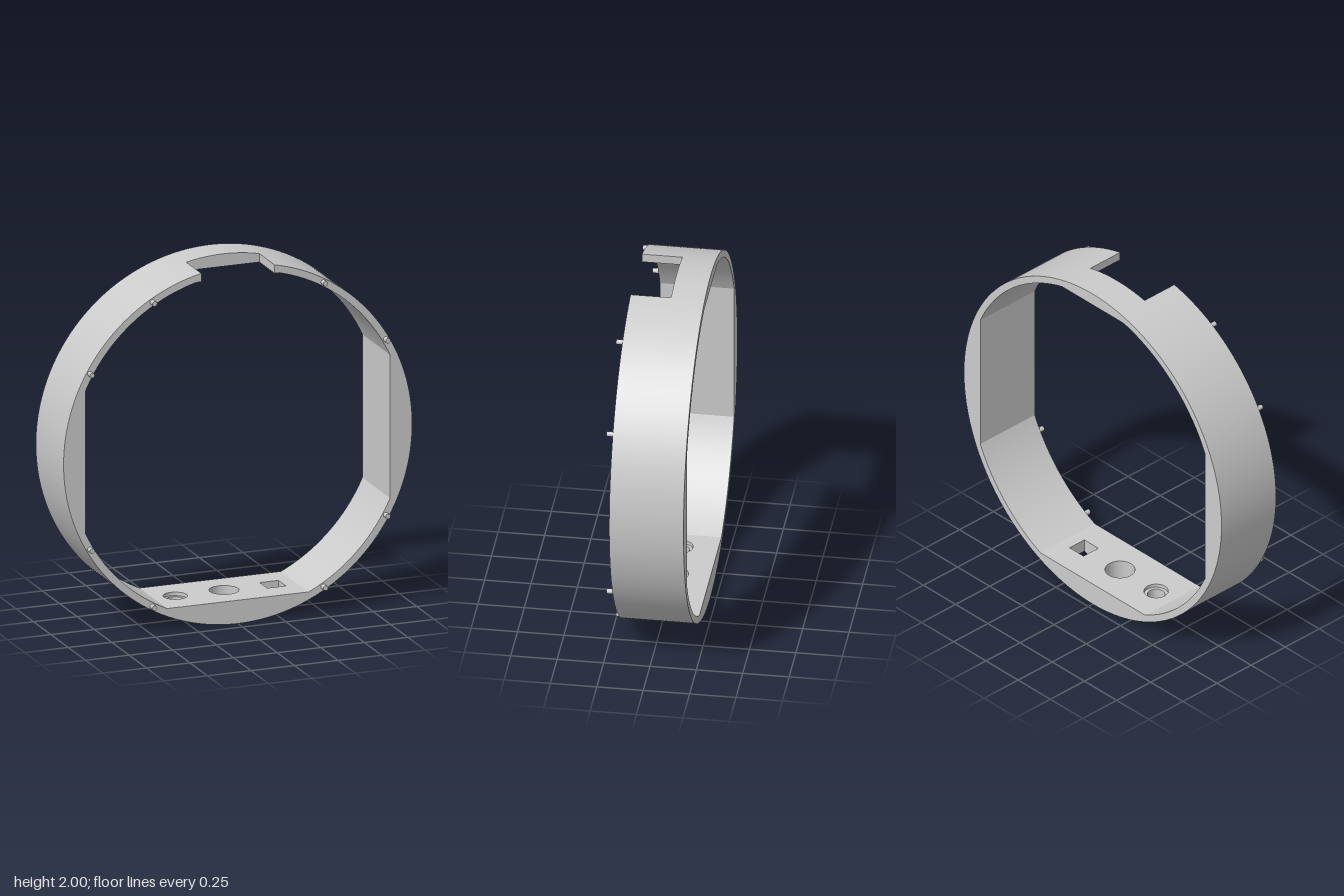
import * as THREE from 'three';
import { toCreasedNormals } from 'three/addons/utils/BufferGeometryUtils.js';

const R = 1, RI = 0.96;                 // outer and inner ring radius
const ZB = -0.217, ZF = 0.183;          // back and front of the ring
const ZC = (ZB + ZF) / 2;
const SIDE = 0.873, TOP = 0.93, BOTTOM = 0.87; // distance of the inner flats from the centre
const NOTCH_X = 0.21, NOTCH_Z = -0.035;
const BX = Math.sqrt(RI * RI - BOTTOM * BOTTOM); // half width of the bottom block

const material = new THREE.MeshStandardMaterial({ color: 0xcccccc, side: THREE.DoubleSide });

function addMesh(group, name, geometry) {
  const mesh = new THREE.Mesh(geometry, material);
  mesh.name = name;
  group.add(mesh);
  return mesh;
}

function arc(r, from, to, n) {
  return Array.from({ length: n + 1 }, (_, i) => {
    const a = from + (to - from) * i / n;
    return new THREE.Vector2(r * Math.cos(a), r * Math.sin(a));
  });
}

function extrude(points, z0, z1) {
  const g = new THREE.ExtrudeGeometry(new THREE.Shape(points), { depth: z1 - z0, bevelEnabled: false });
  g.translate(0, 1, z0);
  return toCreasedNormals(g, 0.2);
}

// One half of the ring, from the bottom block up to the notch
function sidePoints(sign) {
  const flat = Math.acos(SIDE / RI);
  const pts = [
    ...arc(R, -Math.acos(BX / R), Math.acos(NOTCH_X / R), 80),
    new THREE.Vector2(NOTCH_X, TOP),
    ...arc(RI, Math.asin(TOP / RI), flat, 32),
    ...arc(RI, -flat, -Math.asin(BOTTOM / RI), 32),
  ];
  return pts.map(p => new THREE.Vector2(p.x * sign, p.y));
}

// Bottom block: sections swept along x, each with the half widths of the holes at that x
function bottomBlock() {
  const top = 1 - BOTTOM, shelf = top - 0.02, eps = 1e-5;
  const round = (x, cx, r) => Math.sqrt(Math.max(0, r * r - (x - cx) ** 2));
  const square = x => (Math.abs(x - 0.28) < 0.054 ? 0.054 : 0);
  const hTop = x => round(x, -0.28, 0.065) + round(x, 0, 0.08) + square(x);
  const hLow = x => round(x, -0.28, 0.047) + round(x, 0, 0.08) + square(x);

  const xs = [];
  for (let i = 0; i <= 40; i++) xs.push(-BX + 2 * BX * i / 40);
  for (const [cx, r] of [[-0.28, 0.065], [-0.28, 0.047], [0, 0.08]])
    for (let i = 0; i <= 24; i++) xs.push(cx - r * Math.cos(Math.PI * i / 24));
  for (const edge of [0.28 - 0.054, 0.28 + 0.054]) xs.push(edge - eps, edge + eps);
  xs.sort((a, b) => a - b);

  const section = (x, s) => {
    const low = 1 - Math.sqrt(R * R - x * x);
    const t = hTop(x), l = hLow(x), end = (ZF - ZB) / 2;
    return [[end, low], [end, top], [t, top], [t, shelf], [l, shelf], [l, low]]
      .map(([z, y]) => [x, y, ZC + s * z]);
  };

  const pos = [];
  for (const s of [1, -1]) {
    for (let k = 0; k < xs.length - 1; k++) {
      const a = section(xs[k], s), b = section(xs[k + 1], s);
      for (let i = 0; i < 6; i++) {
        const j = (i + 1) % 6;
        // no wall where there is no hole
        const closed = [a[i], a[j], b[i], b[j]].every(p => Math.abs(p[2] - ZC) < 1e-6);
        if (closed) continue;
        const quad = [a[i], b[i], b[j], a[i], b[j], a[j]];
        if (s < 0) quad.reverse();
        quad.forEach(p => pos.push(...p));
      }
    }
  }
  const g = new THREE.BufferGeometry();
  g.setAttribute('position', new THREE.Float32BufferAttribute(pos, 3));
  return toCreasedNormals(g, 0.2);
}

export function createModel() {
  const model = new THREE.Group();
  model.name = 'ringFrame';

  addMesh(model, 'leftSide', extrude(sidePoints(1), ZB, ZF));
  addMesh(model, 'rightSide', extrude(sidePoints(-1), ZB, ZF));
  addMesh(model, 'bottomBlock', bottomBlock());

  // Bridge behind the notch
  const end = Math.acos(NOTCH_X / R);
  addMesh(model, 'topBridge', extrude([
    ...arc(R, end, Math.PI - end, 20),
    new THREE.Vector2(-NOTCH_X, TOP),
    new THREE.Vector2(NOTCH_X, TOP),
  ], ZB, NOTCH_Z));

  // Locating pins on the front rim
  const pins = new THREE.Group();
  pins.name = 'pins';
  const pinGeometry = new THREE.CylinderGeometry(0.014, 0.014, 0.035, 20).rotateX(Math.PI / 2);
  for (const quarter of [0, 90, 180, 270]) {
    for (const step of [30, 60]) {
      const a = THREE.MathUtils.degToRad(quarter + step);
      addMesh(pins, 'pin', pinGeometry)
        .position.set(0.98 * Math.cos(a), 1 + 0.98 * Math.sin(a), ZF + 0.0175);
    }
  }
  model.add(pins);
  return model;
}
